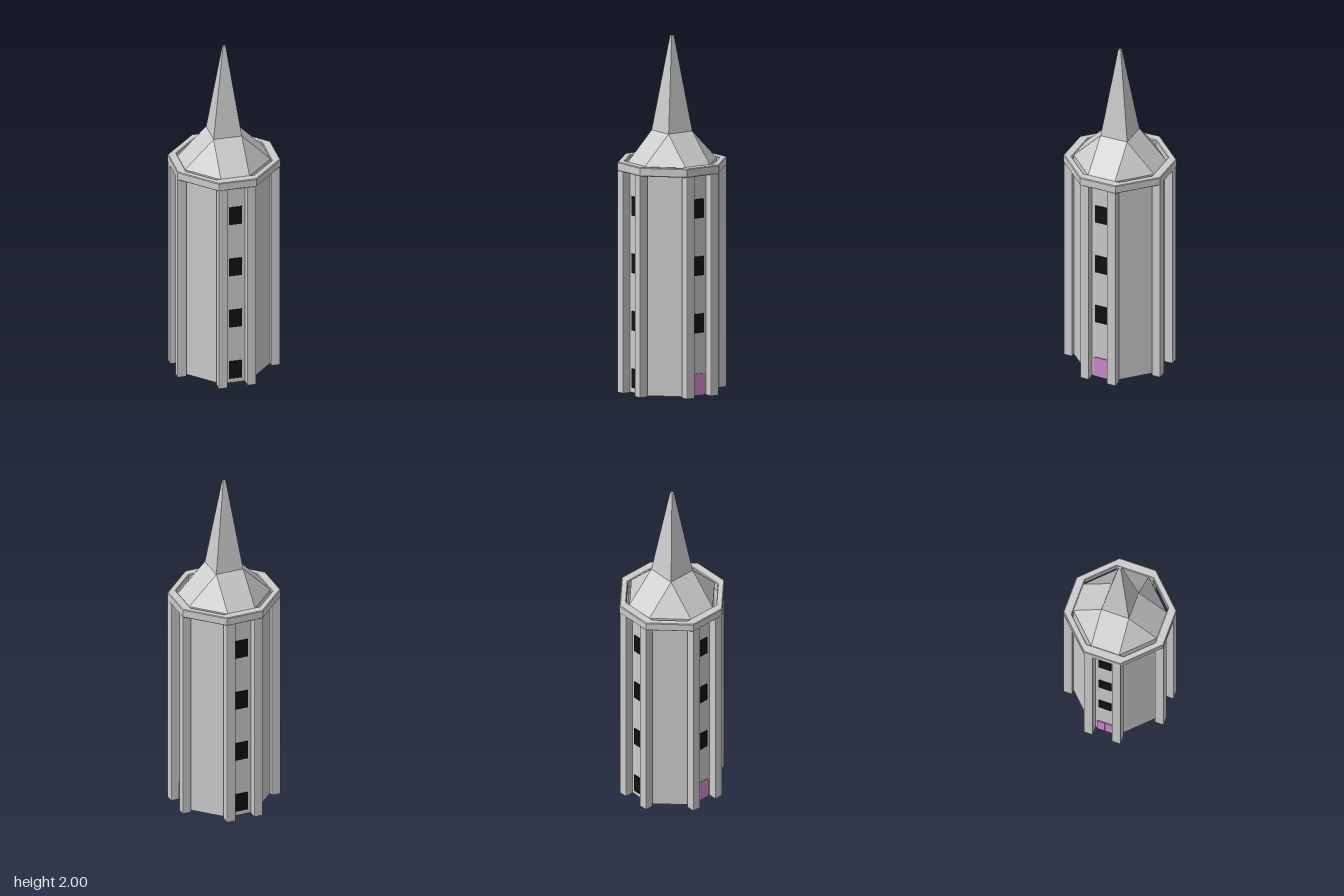
import * as THREE from 'three';
import { RoundedBoxGeometry } from 'three/addons/geometries/RoundedBoxGeometry.js';

const grey = new THREE.MeshStandardMaterial({ color: 0xcccccc, flatShading: true });
const black = new THREE.MeshStandardMaterial({ color: 0x111111 });
const pink = new THREE.MeshStandardMaterial({ color: 0xd088cc });

// Octagon with faces at distance r and half-width h on the four main sides (h = r gives a square)
const octagon = (r, h) => [[r, -h], [r, h], [h, r], [-h, r], [-r, h], [-r, -h], [-h, -r], [h, -r]];

// Solid through a stack of [y, r, h] octagon sections
function loft(sections) {
  const rings = sections.map(([y, r, h]) => octagon(r, h).map(([x, z]) => new THREE.Vector3(x, y, z)));
  const pos = [];
  const tri = (a, b, c) => {
    if (a.equals(b) || b.equals(c) || a.equals(c)) return;
    for (const p of [a, b, c]) pos.push(p.x, p.y, p.z);
  };
  for (let s = 0; s < rings.length - 1; s++) {
    for (let i = 0; i < 8; i++) {
      const j = (i + 1) % 8, lo = rings[s], hi = rings[s + 1];
      tri(lo[i], hi[i], lo[j]);
      tri(lo[j], hi[i], hi[j]);
    }
  }
  const bottom = rings[0], top = rings[rings.length - 1];
  for (let i = 1; i < 7; i++) {
    tri(bottom[0], bottom[i], bottom[i + 1]);
    tri(top[0], top[i + 1], top[i]);
  }
  const g = new THREE.BufferGeometry();
  g.setAttribute('position', new THREE.Float32BufferAttribute(pos, 3));
  g.computeVertexNormals();
  return g;
}

function add(parent, name, geometry, material, x = 0, y = 0, z = 0) {
  const mesh = new THREE.Mesh(geometry, material);
  mesh.name = name;
  mesh.position.set(x, y, z);
  parent.add(mesh);
  return mesh;
}

// Bevelled octagonal band around the eaves
function parapetGeometry() {
  const b = 0.004;
  const points = (r, h) => octagon(r, h).map(([x, z]) => new THREE.Vector2(x, z));
  const shape = new THREE.Shape(points(0.295 - b, 0.108 - b / 2));
  shape.holes.push(new THREE.Path(points(0.245 + b, 0.108 + b / 2).reverse()));
  const g = new THREE.ExtrudeGeometry(shape, {
    depth: 0.05 - 2 * b, bevelThickness: b, bevelSize: b, bevelSegments: 1,
  });
  return g.rotateX(-Math.PI / 2).translate(0, 1.25 + b, 0);
}

// One door leaf with a rounded upper outer corner, hinged on the +x side
function doorLeafGeometry() {
  const w = 0.047, h = 0.127, r = 0.02;
  const s = new THREE.Shape();
  s.moveTo(0.0008, 0.004);
  s.lineTo(w, 0.004);
  s.lineTo(w, h - r);
  s.quadraticCurveTo(w, h, w - r, h);
  s.lineTo(0.0008, h);
  s.closePath();
  return new THREE.ExtrudeGeometry(s, { depth: 0.012, bevelEnabled: false, curveSegments: 6 });
}

export function createModel() {
  const model = new THREE.Group();
  model.name = 'tower';
  const wall = 0.245;

  // Tower body, roof and spire
  add(model, 'body', loft([[0.004, wall, 0.082], [1.295, wall, 0.082]]), grey);
  add(model, 'roof', loft([[1.295, wall, 0.082], [1.462, 0.081, 0.081]]), grey);
  add(model, 'spire', loft([[1.462, 0.081, 0.081], [2, 0.008, 0.008]]), grey);
  add(model, 'parapet', parapetGeometry(), grey);

  const pillar = new RoundedBoxGeometry(0.052, 1.252, 0.052, 1, 0.004);
  const window = new THREE.BoxGeometry(0.074, 0.108, 0.012);
  const leaf = doorLeafGeometry();

  // Four main sides, each with two pillars and a column of openings
  ['front', 'left', 'back', 'right'].forEach((side, k) => {
    const face = new THREE.Group();
    face.name = side + 'Side';
    face.rotation.y = k * Math.PI / 2;
    model.add(face);
    for (const s of [-1, 1]) add(face, 'pillar', pillar, grey, s * 0.082, 0.626, 0.269);

    const hasDoor = k % 2 === 1;
    for (let i = hasDoor ? 1 : 0; i < 4; i++) {
      add(face, 'window', window, black, 0, 0.086 + i * 0.324, wall);
    }
    if (hasDoor) {
      add(face, 'doorLeaf', leaf, pink, 0, 0, wall - 0.006);
      // The other leaf is the same piece turned round
      const other = add(face, 'doorLeaf', leaf, pink, 0, 0, wall + 0.006);
      other.rotation.y = Math.PI;
    }
  });
  return model;
}
